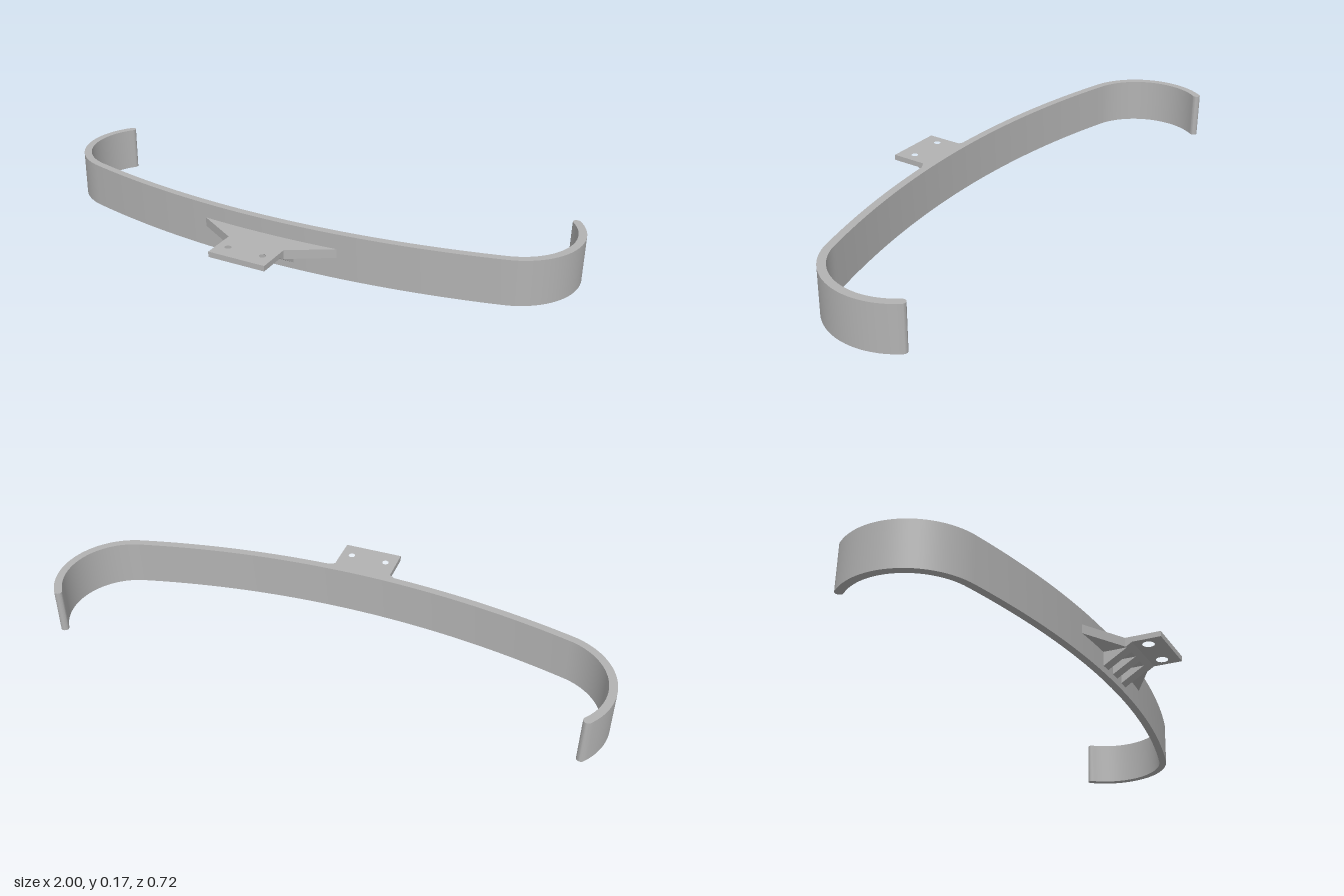
import * as THREE from 'three';
import { toCreasedNormals } from 'three/addons/utils/BufferGeometryUtils.js';

const steel = new THREE.MeshStandardMaterial({ color: 0xb2b2b2 });
steel.name = 'grey';

// Band centreline: one wide front arc, tangent to a tight arc at each end
const FRONT = { x: 0, z: -2.996, r: 3.13 };
const CORNER = { x: 0.751, z: -0.2, r: 0.235 };
const JOIN = 0.2623, END = Math.PI / 2 + 0.675;
const HALF = 0.014, HEIGHT = 0.165;

const arcPoint = (arc, angle, offset) => [
  arc.x + (arc.r + offset) * Math.sin(angle),
  arc.z + (arc.r + offset) * Math.cos(angle),
];
const mirror = (points) => points.map(([x, z]) => [-x, z]).reverse();

// Plan outline given as [x, z]
function planShape(points) {
  return new THREE.Shape(points.map(([x, z]) => new THREE.Vector2(x, -z)));
}

// Raise a plan shape from y0 to y1
function raise(shape, y0, y1) {
  const geo = new THREE.ExtrudeGeometry(shape, { depth: y1 - y0, bevelEnabled: false, curveSegments: 24 });
  return geo.rotateX(-Math.PI / 2).translate(0, y0, 0);
}

// Sweep a side profile of [z, y] points across a width centred on x
function across(profile, width, x) {
  const shape = new THREE.Shape(profile.map(([z, y]) => new THREE.Vector2(z, y)));
  const geo = new THREE.ExtrudeGeometry(shape, { depth: width, bevelEnabled: false });
  return geo.rotateY(-Math.PI / 2).translate(x + width / 2, 0, 0);
}

function bandOutline() {
  const side = (offset) => {
    const points = [];
    for (let i = 0; i <= 24; i++) points.push(arcPoint(FRONT, (JOIN * i) / 24, offset));
    for (let i = 1; i <= 36; i++) points.push(arcPoint(CORNER, JOIN + ((END - JOIN) * i) / 36, offset));
    return points;
  };
  // Rounded tip
  const [tx, tz] = arcPoint(CORNER, END, 0);
  const tip = [];
  for (let i = 1; i < 10; i++) {
    const a = END + (Math.PI * i) / 10;
    tip.push([tx + HALF * Math.sin(a), tz + HALF * Math.cos(a)]);
  }
  const right = [...side(HALF), ...tip, ...side(-HALF).reverse()];
  return [...right, ...mirror(right).slice(1, -1)];
}

export function createModel() {
  const model = new THREE.Group();
  model.name = 'curvedBandWithBracket';
  const add = (name, geo) => {
    const mesh = new THREE.Mesh(toCreasedNormals(geo, 0.5), steel);
    mesh.name = name;
    model.add(mesh);
  };

  add('curvedBand', raise(planShape(bandOutline()), 0, HEIGHT));

  // Flared bracket root, its back edge buried inside the band
  const back = [];
  for (let i = -6; i <= 6; i++) back.push(arcPoint(FRONT, (0.0892 * i) / 6, 0.004));
  add('bracketRoot', raise(planShape([...back, [0.108, 0.23], [-0.108, 0.23]]), 0.077, 0.11));

  // Mounting plate with two screw holes, widened on the underside
  const plate = planShape([[-0.108, 0.23], [0.108, 0.23], [0.108, 0.36], [-0.108, 0.36]]);
  const holes = [-0.067, 0.067];
  for (const x of holes) plate.holes.push(new THREE.Path().absarc(x, -0.3, 0.012, 0, Math.PI * 2, true));
  const plateGeo = raise(plate, 0.09, 0.11);
  const pos = plateGeo.attributes.position;
  for (let i = 0; i < pos.count; i++) {
    if (pos.getY(i) > 0.1) continue;
    for (const x of holes) {
      const dx = pos.getX(i) - x, dz = pos.getZ(i) - 0.3;
      if (Math.hypot(dx, dz) < 0.014) {
        pos.setXYZ(i, x + dx * 1.8, pos.getY(i), 0.3 + dz * 1.8);
        break;
      }
    }
  }
  add('mountingPlate', plateGeo);

  // Sloped step between the root and the plate
  add('plateChamfer', across([[0.22, 0.077], [0.2336, 0.077], [0.255, 0.09], [0.22, 0.09]], 0.216, 0));

  // Three triangular ribs below
  for (const x of [-0.08, 0, 0.08]) {
    add('supportRib', across([[0.14, 0.0202], [0.255, 0.09], [0.14, 0.09]], 0.04, x));
  }
  return model;
}
